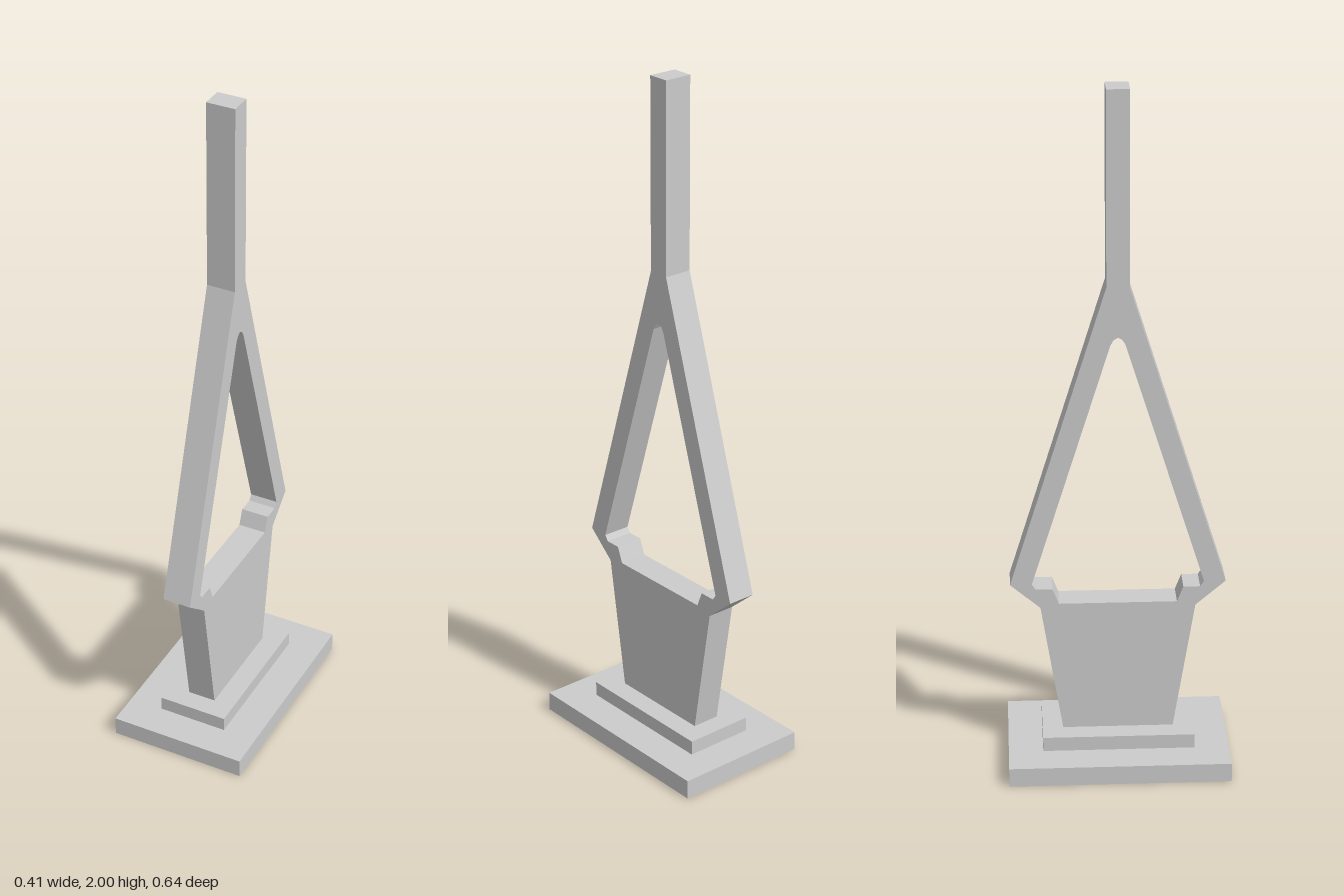
import * as THREE from 'three';

const material = new THREE.MeshStandardMaterial({ color: 0xcccccc, flatShading: true, side: THREE.DoubleSide });

function addMesh(parent, name, geometry) {
  const mesh = new THREE.Mesh(geometry, material);
  mesh.name = name;
  parent.add(mesh);
}

function rectanglePoints(w, d) {
  return [[-w, -d], [w, -d], [w, d], [-w, d]].map(([x, y]) => new THREE.Vector2(x, y));
}

// Hollow plinth step, open below, its top a ring around the part above
function addStep(parent, name, [w, d], [innerW, innerD], bottom, top) {
  const step = new THREE.Group();
  step.name = name;
  const walls = new THREE.BoxGeometry(2 * w, top - bottom, 2 * d);
  const index = Array.from(walls.index.array);
  walls.setIndex([...index.slice(0, 12), ...index.slice(24)]); // side faces only
  walls.clearGroups();
  walls.translate(0, (top + bottom) / 2, 0);
  addMesh(step, name + 'Walls', walls);

  const ring = new THREE.Shape(rectanglePoints(w, d));
  ring.holes.push(new THREE.Path(rectanglePoints(innerW, innerD)));
  addMesh(step, name + 'Top', new THREE.ShapeGeometry(ring).rotateX(-Math.PI / 2).translate(0, top, 0));
  parent.add(step);
}

// Mirrors half a side profile, given from bottom to top as [z, y]
function mirrored(half) {
  const other = half.filter(([z]) => z > 0).reverse().map(([z, y]) => [-z, y]);
  return [...half, ...other].map(([z, y]) => new THREE.Vector2(z, y));
}

export function createModel() {
  const group = new THREE.Group();
  const halfWidth = 0.042;
  const footY = 0.1;

  // Two-step base
  addStep(group, 'lowerBase', [0.205, 0.32], [0.104, 0.22], 0, 0.057);
  addStep(group, 'upperBase', [0.104, 0.22], [halfWidth, 0.16], 0.057, footY);

  // Tapered pedestal, forked arms and upright spire in one profile
  const profile = new THREE.Shape(mirrored([
    [0.16, footY], [0.222, 0.488], [0.308, 0.562], [0.032, 1.45], [0.032, 2],
  ]));
  // Opening between the arms
  profile.holes.push(new THREE.Path(mirrored([
    [0.169, 0.5], [0.187, 0.546], [0.235, 0.546], [0.246, 0.562],
    [0.021, 1.283], [0.012, 1.298], [0, 1.305],
  ])));
  const body = new THREE.ExtrudeGeometry(profile, { depth: 2 * halfWidth, bevelEnabled: false });

  // Leave the foot open into the hollow base
  const p = body.attributes.position;
  const kept = [];
  for (let i = 0; i < p.count; i += 3) {
    if ([0, 1, 2].some((k) => p.getY(i + k) > footY + 1e-4)) kept.push(i, i + 1, i + 2);
  }
  body.setIndex(kept);
  body.clearGroups();
  body.translate(0, 0, -halfWidth).rotateY(-Math.PI / 2);
  addMesh(group, 'forkedColumn', body);

  return group;
}
